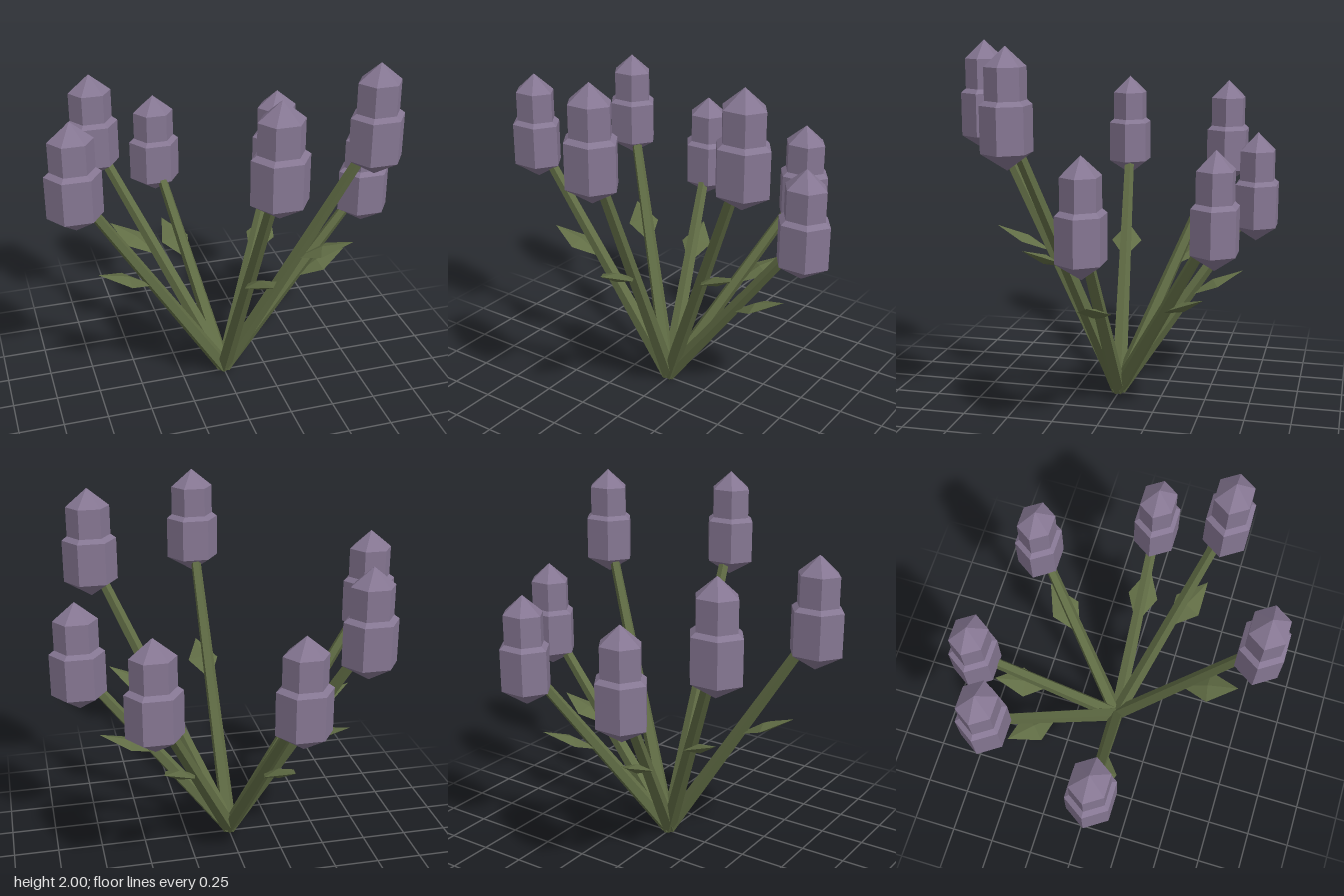
import * as THREE from 'three';

// flower positions: [x, z, height of the tip]
const FLOWERS = [
  [0.06, 0.74, 2.0],
  [0.70, 0.40, 2.0],
  [0.83, -0.01, 1.5],
  [0.51, -0.61, 1.5],
  [-0.22, -0.74, 1.5],
  [-0.625, -0.52, 1.75],
  [-0.835, 0.12, 1.75],
];

// blossom outline, measured down from its tip
const HEAD = [[0, -0.61], [0.15, -0.52], [0.15, -0.285], [0.12, -0.262], [0.12, -0.1], [0, 0]];

function flatMaterial(name, color) {
  const m = new THREE.MeshStandardMaterial({ color, flatShading: true });
  m.name = name;
  return m;
}

export function createModel() {
  const group = new THREE.Group();
  group.name = 'flowerBunch';
  const purple = flatMaterial('blossomPurple', 0x867793);
  const green = flatMaterial('stemGreen', 0x616d45);

  // six-sided blossom, a little flattened front to back
  const headGeo = new THREE.LatheGeometry(
    HEAD.map(([r, y]) => new THREE.Vector2(r, y)), 6, Math.PI / 2);
  headGeo.scale(1, 1, 0.87);

  // thin pointed leaf
  const leafGeo = new THREE.OctahedronGeometry(1).scale(0.175, 0.025, 0.09);

  const baseY = 0.03;
  FLOWERS.forEach(([x, z, top], i) => {
    const reach = Math.hypot(x, z);
    const rise = top - 0.38 - baseY;
    const length = Math.hypot(reach, rise);

    const head = new THREE.Mesh(headGeo, purple);
    head.name = `blossom${i + 1}`;
    head.position.set(x, top, z);
    group.add(head);

    // stalk group: local +x points outward
    const stalk = new THREE.Group();
    stalk.name = `stalk${i + 1}`;
    stalk.rotation.y = Math.atan2(-z, x);
    stalk.position.y = baseY;

    const stem = new THREE.Mesh(new THREE.CylinderGeometry(0.028, 0.045, length, 5), green);
    stem.name = 'stem';
    stem.position.set(reach / 2, rise / 2, 0);
    stem.rotation.z = -Math.atan2(reach, rise);
    stalk.add(stem);

    // leaf grows outward from the middle of the stem
    const leaf = new THREE.Mesh(leafGeo, green);
    leaf.name = 'leaf';
    leaf.position.set(reach / 2 + 0.16, rise / 2 + 0.07, 0);
    leaf.rotation.z = Math.atan2(0.145, 0.32);
    stalk.add(leaf);

    group.add(stalk);
  });
  return group;
}
